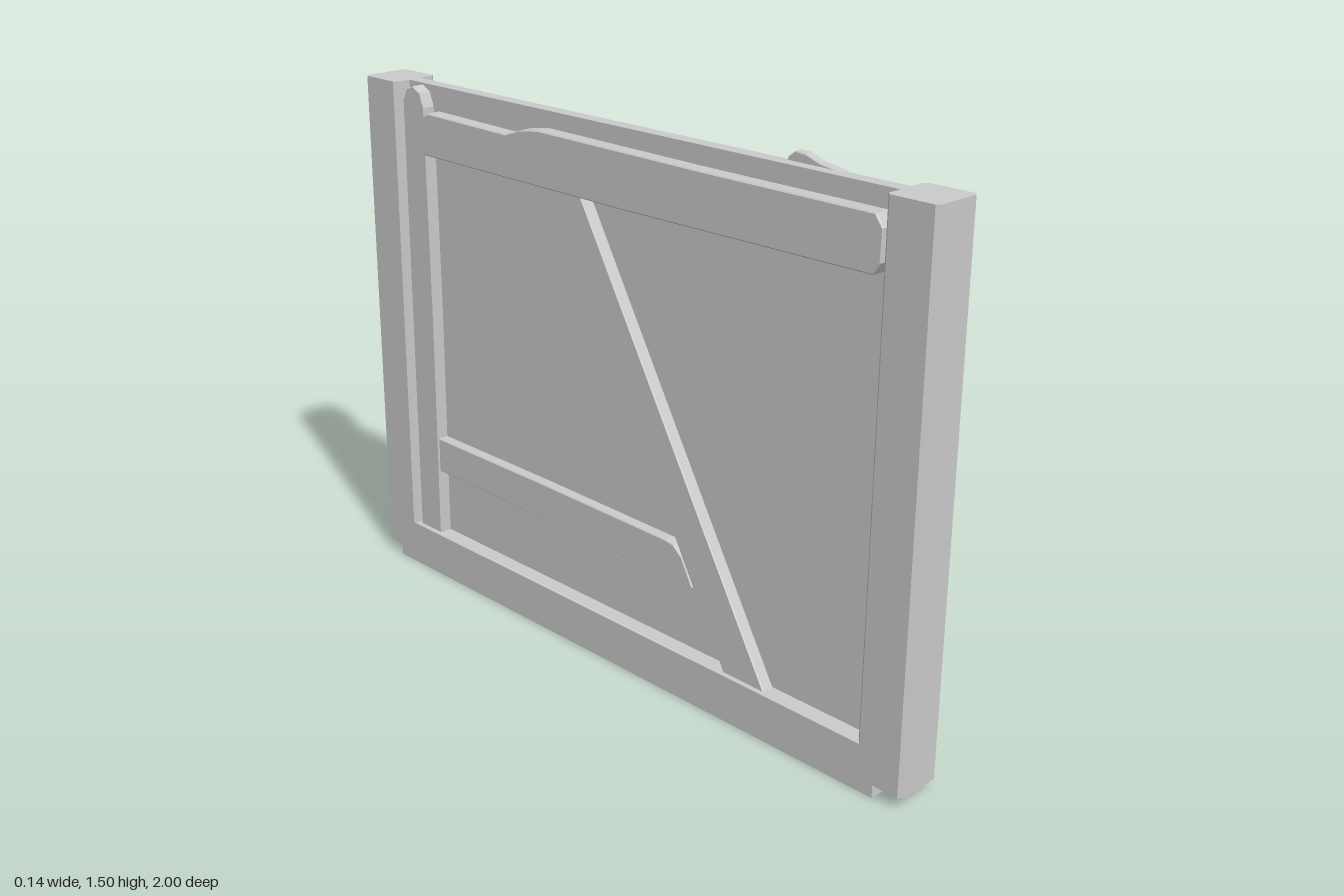
import * as THREE from 'three';

const mat = new THREE.MeshStandardMaterial({ color: 0xcccccc, flatShading: true });

function add(parent, name, geometry) {
  const mesh = new THREE.Mesh(geometry, mat);
  mesh.name = name;
  parent.add(mesh);
  return mesh;
}

const outline = (pts) => new THREE.Shape(pts.map(([a, b]) => new THREE.Vector2(a, b)));

// Flat board cut from a (z, y) outline, filling xMin..xMax with a small bevel
function board(parent, name, pts, xMin, xMax, bevel = 0.003) {
  const g = new THREE.ExtrudeGeometry(outline(pts), {
    depth: xMax - xMin - 2 * bevel, bevelEnabled: true, bevelSegments: 1,
    bevelSize: bevel, bevelThickness: bevel, bevelOffset: -bevel,
  });
  g.rotateY(-Math.PI / 2).translate(xMax - bevel, 0, 0);
  return add(parent, name, g);
}

function box(parent, name, x0, x1, y0, y1, z0, z1) {
  const g = new THREE.BoxGeometry(x1 - x0, y1 - y0, z1 - z0);
  g.translate((x0 + x1) / 2, (y0 + y1) / 2, (z0 + z1) / 2);
  return add(parent, name, g);
}

// Upright post with chamfered long edges
function post(parent, name, z) {
  const h = 0.07, c = 0.01;
  const g = new THREE.ExtrudeGeometry(outline([
    [-h + c, -h], [h - c, -h], [h, -h + c], [h, h - c],
    [h - c, h], [-h + c, h], [-h, h - c], [-h, -h + c],
  ]), { depth: 1.445, bevelEnabled: false });
  g.rotateX(-Math.PI / 2).translate(0, 0.035, z);
  return add(parent, name, g);
}

export function createModel() {
  const model = new THREE.Group();
  model.name = 'wallSection';

  // Frame
  post(model, 'frontPost', 0.93);
  post(model, 'backPost', -0.93);
  box(model, 'baseBeam', -0.07, 0.05, 0, 0.13, -0.935, 0.915);
  box(model, 'wallPanel', -0.02, 0.02, 0.12, 1.48, -0.88, 0.88);

  // Leaning planks on the left face
  const left = new THREE.Group();
  left.name = 'leaningPlanks';
  model.add(left);
  board(left, 'narrowPlank', [
    [0.57, 0.125], [0.48, 0.125], [0.6, 1.48], [0.68, 1.478], [0.682, 1.45], [0.61, 0.62],
  ], 0.012, 0.032);
  board(left, 'wornPlank', [
    [0.25, 0.125], [0.13, 0.125], [0.395, 1.11], [0.428, 1.185], [0.436, 1.25],
    [0.475, 1.39], [0.5, 1.455], [0.515, 1.49], [0.535, 1.505], [0.565, 1.503],
    [0.61, 1.488], [0.675, 1.478], [0.6, 1.43], [0.48, 0.98], [0.42, 0.78],
  ], 0.012, 0.038);

  // Boards nailed to the right face
  const right = new THREE.Group();
  right.name = 'bracing';
  model.add(right);
  board(right, 'uprightBoard', [
    [-0.85, 0.125], [-0.755, 0.125], [-0.75, 0.8], [-0.755, 1.42], [-0.77, 1.46],
    [-0.8, 1.475], [-0.83, 1.465], [-0.848, 1.43],
  ], -0.055, -0.015);
  board(right, 'topBoard', [
    [-0.76, 1.29], [0.05, 1.285], [0.83, 1.29], [0.85, 1.32], [0.852, 1.4],
    [0.83, 1.43], [0.3, 1.43], [-0.27, 1.435], [-0.34, 1.425], [-0.4, 1.405],
    [-0.73, 1.41], [-0.755, 1.395], [-0.77, 1.36],
  ], -0.062, -0.015);
  board(right, 'diagonalBrace', [
    [0.41, 0.125], [0.55, 0.125], [-0.125, 1.3], [-0.24, 1.3],
  ], -0.055, -0.015);
  board(right, 'lowerBoard', [
    [-0.76, 0.33], [0.29, 0.325], [0.25, 0.4], [0.22, 0.425], [0.19, 0.43],
    [-0.3, 0.435], [-0.76, 0.435],
  ], -0.05, -0.015);

  return model;
}
